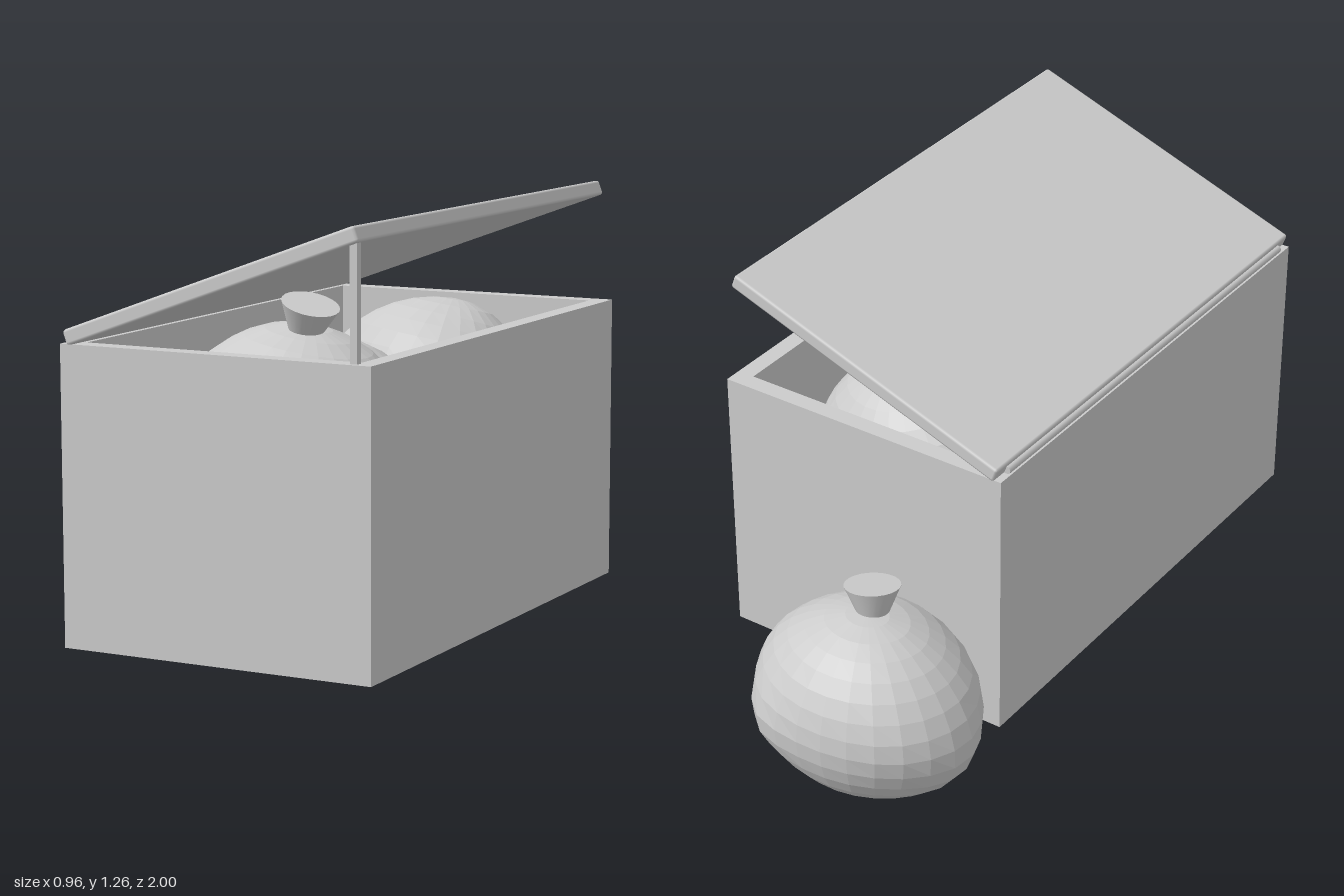
import * as THREE from 'three';
import { RoundedBoxGeometry } from 'three/addons/geometries/RoundedBoxGeometry.js';

const grey = new THREE.MeshStandardMaterial({ color: 0xcccccc });
const faceted = new THREE.MeshStandardMaterial({ color: 0xcccccc, flatShading: true });

function add(parent, name, geometry, x, y, z, material = grey) {
  const mesh = new THREE.Mesh(geometry, material);
  mesh.name = name;
  mesh.position.set(x, y, z);
  parent.add(mesh);
  return mesh;
}

// Lumps pushed out of (or into) the sack: direction, height, tightness
const lumps = [
  [-0.95, -0.3, -0.15, 0.09, 9],
  [0.6, -0.1, -0.8, 0.08, 16],
  [0.97, 0.1, 0.1, 0.06, 8],
  [0.3, -0.95, 0.0, 0.04, 14],
  [0.75, -0.65, 0.1, -0.06, 10],
  [-0.6, 0.7, 0.3, -0.04, 10],
  [0.5, 0.3, 0.8, 0.04, 9],
  [-0.7, 0.1, -0.7, 0.04, 16],
].map(([x, y, z, h, k]) => ({ dir: new THREE.Vector3(x, y, z).normalize(), h, k }));

// Lumpy faceted body of a filled sack
function sackBody() {
  const geometry = new THREE.SphereGeometry(1, 26, 16);
  const p = geometry.attributes.position;
  const v = new THREE.Vector3();
  for (let i = 0; i < p.count; i++) {
    v.fromBufferAttribute(p, i).normalize();
    let r = 1;
    for (const { dir, h, k } of lumps) r += h * Math.exp(k * (v.dot(dir) - 1));
    p.setXYZ(i, v.x * r * 0.315, v.y * r * 0.267, v.z * r * 0.272);
  }
  geometry.computeVertexNormals();
  return geometry;
}

// Sack with a flared, tied neck
function sack(name, x, y, z, rx = 0, ry = 0, rz = 0) {
  const group = new THREE.Group();
  group.name = name;
  add(group, 'sackBody', sackBody(), 0, 0, 0, faceted);
  const neck = add(group, 'sackNeck', new THREE.CylinderGeometry(0.076, 0.042, 0.08, 24), 0.008, 0.29, 0.035);
  neck.rotation.set(0.16, 0, -0.12);
  group.position.set(x, y, z);
  group.rotation.set(rx, ry, rz);
  return group;
}

export function createModel() {
  const model = new THREE.Group();
  model.name = 'storageBin';

  // Open bin: four walls and a floor
  const bin = new THREE.Group();
  bin.name = 'bin';
  model.add(bin);
  const x0 = -0.405, x1 = 0.485, y0 = 0.127, y1 = 0.92, z0 = -0.495, z1 = 0.995, t = 0.05;
  const cx = (x0 + x1) / 2, cy = (y0 + y1) / 2, cz = (z0 + z1) / 2;
  const w = x1 - x0, h = y1 - y0, d = z1 - z0;
  add(bin, 'floor', new THREE.BoxGeometry(w - 2 * t, t, d - 2 * t), cx, y0 + t / 2, cz);
  for (const x of [x0 + t / 2, x1 - t / 2])
    add(bin, 'sideWall', new THREE.BoxGeometry(t, h, d), x, cy, cz);
  for (const z of [z0 + t / 2, z1 - t / 2])
    add(bin, 'endWall', new THREE.BoxGeometry(w - 2 * t, h, t), cx, cy, z);

  // Lid held open, its hinge rod and the prop
  const lid = add(model, 'lid', new RoundedBoxGeometry(0.89, 0.042, 1.5, 1, 0.008), 0.028, 1.087, 0.25);
  lid.rotation.z = THREE.MathUtils.degToRad(20);
  const hinge = add(model, 'hinge', new THREE.CylinderGeometry(0.012, 0.012, 1.4, 12), -0.392, 0.93, 0.25);
  hinge.rotation.x = Math.PI / 2;
  add(model, 'lidProp', new THREE.BoxGeometry(0.02, 0.31, 0.02), 0.431, 1.065, 0.972);

  // Sack behind the bin and the pile inside it
  model.add(
    sack('outerSack', -0.142, 0.272, -0.725),
    sack('frontSack', 0.1, 0.702, 0.68, 0, 0, -0.18),
    sack('backSack', 0.1, 0.675, -0.13, 2.9, 0.3, 0.15),
    sack('middleSack', 0.0, 0.6, 0.28, 2.9, 1.4, 0),
    sack('lowerFrontSack', 0.04, 0.46, 0.6, 0, 2.9, 0),
    sack('lowerBackSack', 0.04, 0.46, -0.08, 0, 0.2, 0),
  );
  return model;
}
